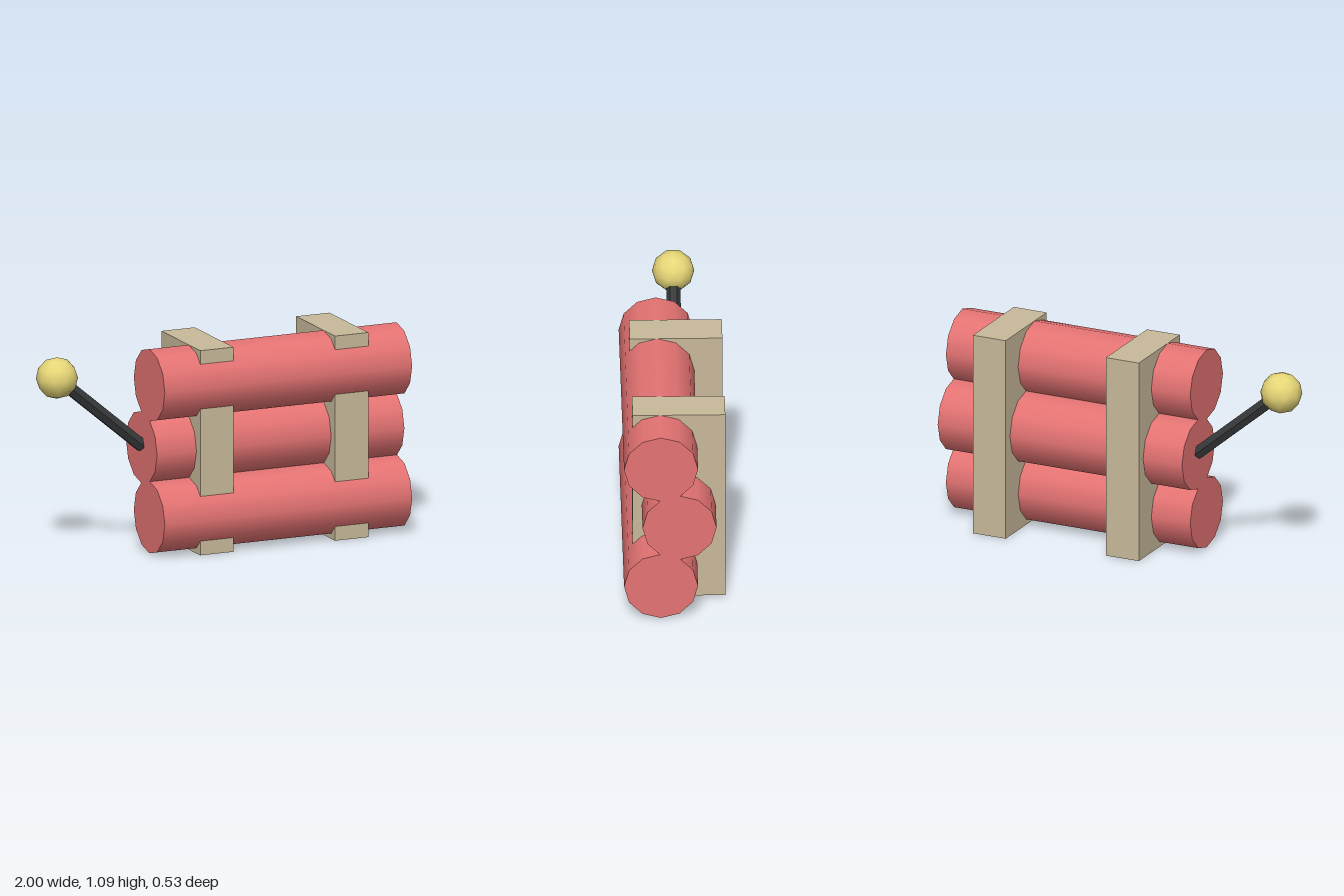
import * as THREE from 'three';

const material = (color, flatShading = false) => new THREE.MeshStandardMaterial({ color, flatShading, roughness: 0.8 });

export function createModel() {
  const model = new THREE.Group();
  model.name = 'stickBundle';
  const red = material(0xe57373);
  const tan = material(0xc8b99a);
  const dark = material(0x37393b, true);
  const yellow = material(0xe8d878);

  const add = (name, geometry, mat, x, y, z) => {
    const mesh = new THREE.Mesh(geometry, mat);
    mesh.name = name;
    mesh.position.set(x, y, z);
    model.add(mesh);
    return mesh;
  };

  // Three stacked sticks, the middle one set back
  const stick = new THREE.CylinderGeometry(0.192, 0.192, 1.413, 12).rotateZ(Math.PI / 2);
  [['bottomStick', 0.195, 0.073], ['middleStick', 0.547, -0.023], ['topStick', 0.9, 0.073]]
    .forEach(([name, y, z]) => add(name, stick, red, 0.2935, y, z));

  // Two straps running through the bundle
  const strap = new THREE.BoxGeometry(0.19, 1.092, 0.481);
  [['rightStrap', -0.093], ['leftStrap', 0.677]]
    .forEach(([name, x]) => add(name, strap, tan, x, 0.546, -0.0245));

  // Slanted fuse from the middle stick up to the spark ball
  const start = new THREE.Vector3(-0.41, 0.555, -0.027);
  const tip = new THREE.Vector3(-0.895, 0.965, -0.027);
  const along = tip.clone().sub(start);
  const mid = start.clone().add(tip).multiplyScalar(0.5);
  const fuse = add('fuse', new THREE.CylinderGeometry(0.037, 0.037, along.length(), 6), dark, mid.x, mid.y, mid.z);
  fuse.rotation.z = Math.atan2(-along.x, along.y);

  // Spark ball, turned so one corner points straight up
  const ball = new THREE.IcosahedronGeometry(0.11, 1)
    .rotateX(-Math.atan((1 + Math.sqrt(5)) / 2))
    .rotateY(Math.PI / 2);
  add('sparkBall', ball, yellow, tip.x, tip.y, tip.z);

  return model;
}
